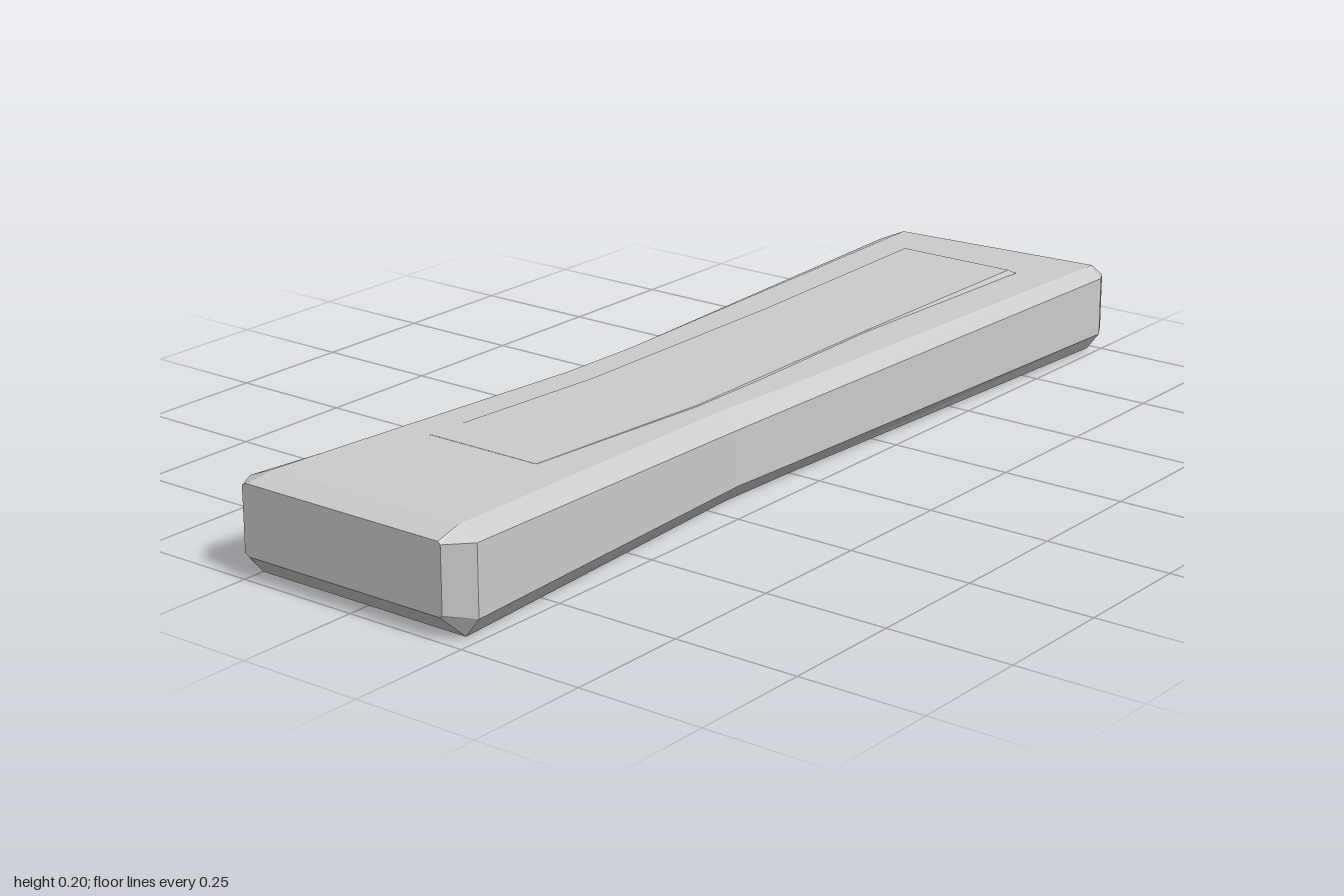
import * as THREE from 'three';

// Skin a row of cross-sections; each is { x, skew, p: [[z, y], ...] } going front, top, back.
function loft(name, sections) {
  const rows = sections.map(({ x, skew = 0, p }) => p.map(([z, y]) => [x + skew * z, y, z]));
  const pos = [];
  const tri = (a, b, c) => pos.push(...a, ...b, ...c);
  const n = rows[0].length;
  for (let i = 0; i < rows.length - 1; i++) {
    for (let j = 0; j < n; j++) {
      const k = (j + 1) % n;
      const a = rows[i][j], b = rows[i + 1][j], c = rows[i + 1][k], d = rows[i][k];
      tri(a, b, c);
      tri(a, c, d);
    }
  }
  // End caps
  const first = rows[0], last = rows[rows.length - 1];
  for (let j = 1; j < n - 1; j++) {
    tri(first[0], first[j], first[j + 1]);
    tri(last[0], last[j + 1], last[j]);
  }
  const g = new THREE.BufferGeometry();
  g.setAttribute('position', new THREE.Float32BufferAttribute(pos, 3));
  g.computeVertexNormals();
  const mesh = new THREE.Mesh(g, new THREE.MeshStandardMaterial({ color: 0xcccccc, flatShading: true }));
  mesh.name = name;
  return mesh;
}

// Bevelled outline: front/back faces, inner edges of the top and bottom, and heights
const bevelled = (front, back, topF, topB, botF, botB, y0, y1, y2, y3) => [
  [botF, y0], [front, y1], [front, y2], [topF, y3],
  [topB, y3], [back, y2], [back, y1], [botB, y0],
];

export function createModel() {
  const group = new THREE.Group();
  group.name = 'hewnBlock';

  // Long block, narrowed and dipped near the middle, with chipped ends
  group.add(loft('block', [
    { x: -1, p: bevelled(0.21, -0.245, 0.205, -0.235, 0.205, -0.235, 0.045, 0.05, 0.175, 0.18) },
    { x: -0.96, p: bevelled(0.255, -0.265, 0.215, -0.21, 0.225, -0.245, 0.003, 0.042, 0.177, 0.2) },
    { x: -0.19, p: bevelled(0.205, -0.236, 0.16, -0.205, 0.175, -0.22, 0, 0.036, 0.145, 0.17) },
    { x: 0, p: bevelled(0.214, -0.23, 0.174, -0.2, 0.18, -0.22, 0, 0.036, 0.148, 0.171) },
    { x: 0.95, skew: 0.07, p: bevelled(0.262, -0.265, 0.24, -0.21, 0.235, -0.245, 0.006, 0.042, 0.162, 0.187) },
    { x: 1, p: bevelled(0.245, -0.21, 0.24, -0.208, 0.24, -0.208, 0.044, 0.048, 0.16, 0.163) },
  ]));

  // Worn panel lying almost flush in the top, rising towards one end
  const slab = (x, front, back, y) => ({
    x, p: [[front + 0.012, y - 0.025], [front, y], [back, y], [back - 0.012, y - 0.025]],
  });
  group.add(loft('topPanel', [
    slab(-0.64, 0.108, -0.14, 0.188),
    slab(-0.19, 0.11, -0.14, 0.172),
    slab(0.34, 0.11, -0.13, 0.179),
    slab(0.81, 0.136, -0.12, 0.195),
    slab(0.83, 0.145, -0.138, 0.184),
  ]));
  return group;
}
